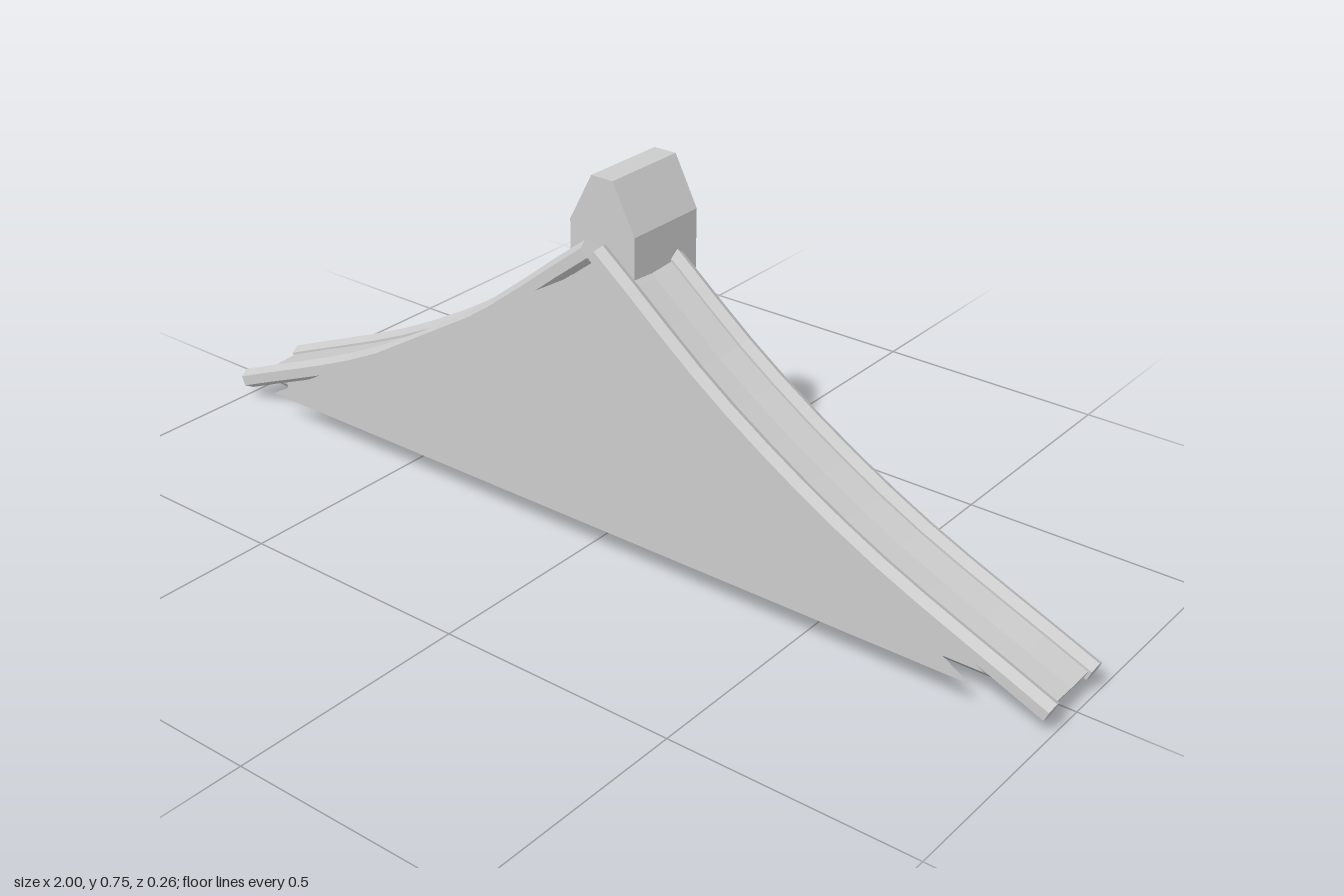
import * as THREE from 'three';

const material = new THREE.MeshStandardMaterial({ color: 0xcccccc, flatShading: true });
const sheetMaterial = new THREE.MeshStandardMaterial({ color: 0xcccccc, side: THREE.DoubleSide });

// Sagging line of the roof slope, from ridge to eave
const slope = new THREE.CatmullRomCurve3([
  [0.008, 0.615], [0.067, 0.569], [0.288, 0.397], [0.59, 0.216], [0.992, 0.042],
].map(([x, y]) => new THREE.Vector3(x, y, 0)));

// Sweeps a section of [height above slope, z] corners down one side of the roof
function sweep(section, side, end = 1, segments = 12) {
  const rings = [];
  for (let i = 0; i <= segments; i++) {
    const u = (i / segments) * end;
    const p = slope.getPointAt(u), t = slope.getTangentAt(u);
    rings.push(section.map(([n, z]) => [side * (p.x - t.y * n), p.y + t.x * n, z]));
  }
  const positions = [];
  const tri = (a, b, c) => positions.push(...a, ...(side > 0 ? b : c), ...(side > 0 ? c : b));
  for (let i = 0; i < segments; i++) {
    section.forEach((_, j) => {
      const k = (j + 1) % section.length, r = rings[i], s = rings[i + 1];
      tri(r[j], r[k], s[j]);
      tri(r[k], s[k], s[j]);
    });
  }
  const contour = section.map(([n, z]) => new THREE.Vector2(n, z));
  for (const [a, b, c] of THREE.ShapeUtils.triangulateShape(contour, [])) {
    const s = rings[segments], r = rings[0];
    tri(s[a], s[b], s[c]);
    tri(r[a], r[c], r[b]);
  }
  const geometry = new THREE.BufferGeometry();
  geometry.setAttribute('position', new THREE.Float32BufferAttribute(positions, 3));
  geometry.computeVertexNormals();
  return geometry;
}

const hexagon = (z, r = 0.0215) => Array.from({ length: 6 }, (_, k) =>
  [r * Math.cos(k * Math.PI / 3), z + r * Math.sin(k * Math.PI / 3)]);

const polygon = (points) => new THREE.Shape(points.map(([x, y]) => new THREE.Vector2(x, y)));

export function createModel() {
  const model = new THREE.Group();
  model.name = 'gableRoofEdge';
  const add = (name, geometry, mat = material) => {
    const mesh = new THREE.Mesh(geometry, mat);
    mesh.name = name;
    model.add(mesh);
    return mesh;
  };

  // Tile rolls, trough and rafter on both slopes
  const trough = [[-0.008, -0.052], [0.006, -0.052], [0.003, 0.0065],
    [0.006, 0.065], [-0.008, 0.065], [-0.01, 0.0065]];
  const rafter = [[-0.062, -0.042], [-0.009, -0.042], [-0.009, 0.02], [-0.062, 0.02]];
  for (const [label, side] of [['left', 1], ['right', -1]]) {
    add(label + 'FrontTileRoll', sweep(hexagon(0.082), side));
    add(label + 'BackTileRoll', sweep(hexagon(-0.07), side));
    add(label + 'TileTrough', sweep(trough, side, 0.995));
    add(label + 'Rafter', sweep(rafter, side, 0.967));
  }

  // Two thin gable sheets
  const gable = polygon([[-0.86, 0.065], [0.86, 0.065], [0.03, 0.567], [-0.03, 0.567]]);
  for (const [name, z] of [['frontGableSheet', 0.128], ['backGableSheet', 0.083]]) {
    add(name, new THREE.ShapeGeometry(gable), sheetMaterial).position.z = z;
  }

  // Ridge end block with chamfered top
  const block = polygon([[-0.076, 0.458], [0.076, 0.458], [0.076, 0.652],
    [0.025, 0.75], [-0.025, 0.75], [-0.076, 0.652]]);
  add('ridgeBlock', new THREE.ExtrudeGeometry(block, { depth: 0.186, bevelEnabled: false }))
    .position.z = -0.128;

  return model;
}
